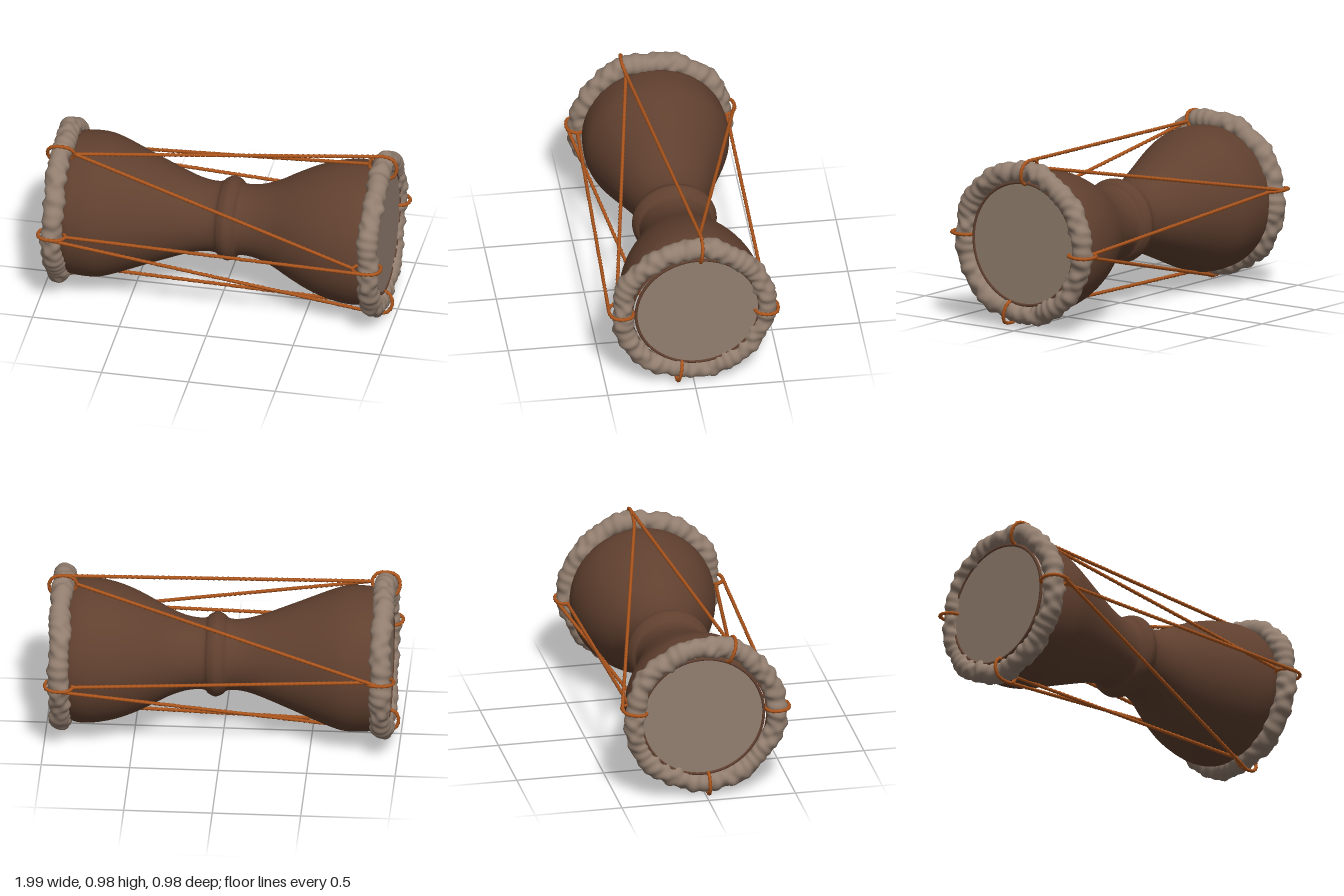
import * as THREE from 'three';
import { mergeVertices } from 'three/addons/utils/BufferGeometryUtils.js';

const CY = 0.49; // height of the drum axis

const wood = new THREE.MeshStandardMaterial({ color: 0x60402f });
wood.name = 'brown wood';
const hide = new THREE.MeshStandardMaterial({ color: 0x927e6f });
hide.name = 'pale hide';
const cord = new THREE.MeshStandardMaterial({ color: 0xaa541c });
cord.name = 'orange cord';

function add(group, name, geometry, material) {
  const mesh = new THREE.Mesh(geometry, material);
  mesh.name = name;
  group.add(mesh);
  return mesh;
}

// Weld the seams so recomputed normals stay smooth
function smooth(geometry) {
  geometry.deleteAttribute('uv');
  geometry.deleteAttribute('normal');
  const welded = mergeVertices(geometry, 1e-5);
  welded.computeVertexNormals();
  return welded;
}

// Hourglass shell turned around the x axis
function bodyGeometry() {
  const profile = [
    [-0.92, 0.355], [-0.86, 0.4], [-0.8, 0.412], [-0.7, 0.412], [-0.6, 0.385], [-0.4, 0.305],
    [-0.2, 0.228], [-0.1, 0.203], [-0.03, 0.203], [0, 0.225], [0.04, 0.241], [0.08, 0.225],
    [0.11, 0.203], [0.2, 0.21], [0.3, 0.245], [0.4, 0.298], [0.5, 0.347], [0.6, 0.384],
    [0.7, 0.406], [0.78, 0.412], [0.85, 0.4], [0.92, 0.355],
  ].map(([x, r]) => new THREE.Vector2(r, x));
  const points = new THREE.SplineCurve(profile).getPoints(110);
  return new THREE.LatheGeometry(points, 72).rotateZ(-Math.PI / 2);
}

// Rolled hide collar with irregular folds
function collarGeometry(seed) {
  const R = 0.41, r = 0.058;
  const g = new THREE.TorusGeometry(R, r, 24, 220);
  const p = g.attributes.position;
  for (let i = 0; i < p.count; i++) {
    const x = p.getX(i), y = p.getY(i), z = p.getZ(i);
    const u = Math.atan2(y, x);
    const d = Math.hypot(x, y) - R;
    const v = Math.atan2(z, d);
    const warp = 1.3 * Math.sin(3 * u + seed) + 0.9 * Math.sin(7 * u + 2 * seed + v);
    const fold = 0.085 * Math.sin(23 * u + 2 * warp + v + seed)
      + 0.06 * Math.sin(37 * u - 2 * warp - 2 * v)
      + 0.05 * Math.sin(11 * u + warp + 2 * v + 3 * seed);
    const k = 1 + fold;
    const drift = 0.005 * Math.sin(5 * u + seed) + 0.004 * Math.sin(9 * u + 2 * seed);
    const radius = R + drift + d * k;
    p.setXYZ(i, radius * Math.cos(u), radius * Math.sin(u),
      z * k + 0.004 * Math.sin(6 * u + seed));
  }
  return smooth(g).rotateY(Math.PI / 2);
}

// Round cord with a three-strand twist
function cordGeometry(curve, closed = false) {
  const length = curve.getLength();
  const steps = Math.round(length / 0.007), sides = 9, radius = 0.0095;
  const turns = Math.max(1, Math.round(length / 0.09));
  const g = new THREE.TubeGeometry(curve, steps, radius, sides, closed);
  const p = g.attributes.position, n = g.attributes.normal;
  for (let i = 0; i <= steps; i++) {
    for (let j = 0; j <= sides; j++) {
      const k = i * (sides + 1) + j;
      const bump = 0.0022 * Math.cos(3 * (j / sides - turns * i / steps) * 2 * Math.PI);
      p.setXYZ(k, p.getX(k) + n.getX(k) * bump, p.getY(k) + n.getY(k) * bump,
        p.getZ(k) + n.getZ(k) * bump);
    }
  }
  return smooth(g);
}

// Point at x, at a radius from the axis, in the direction (y, z)
function around(x, radius, [y, z]) {
  const l = Math.hypot(y, z);
  return new THREE.Vector3(x, CY + radius * y / l, radius * z / l);
}

export function createModel() {
  const drum = new THREE.Group();
  drum.name = 'hourglassDrum';

  add(drum, 'body', bodyGeometry(), wood).position.set(0, 0.478, -0.008);

  // Skin, wooden rim and collar at each end
  for (const side of [-1, 1]) {
    const label = side > 0 ? 'left' : 'right';
    const skin = add(drum, label + 'Skin',
      new THREE.CylinderGeometry(0.35, 0.35, 0.03, 72).rotateZ(Math.PI / 2), hide);
    skin.position.set(side * 0.921, CY, -0.02);
    const rim = add(drum, label + 'Rim',
      new THREE.TorusGeometry(0.351, 0.009, 8, 72).rotateY(Math.PI / 2), wood);
    rim.position.set(side * 0.934, CY, -0.02);
    const collar = add(drum, label + 'Collar', collarGeometry(side > 0 ? 1.1 : 4.3), hide);
    collar.position.set(side * 0.908, CY, 0);
  }

  // Loop directions (y, z): top, front, bottom, back
  const loopsA = [[0.45, 0.17], [0.017, 0.49], [-0.48, 0.015], [0.07, -0.49]];
  const loopsB = [[0.47, -0.045], [0.017, 0.49], [-0.46, 0.095], [-0.033, -0.49]];
  const loopSection = [[0.985, 0.42], [0.963, 0.465], [0.91, 0.481], [0.855, 0.471],
    [0.828, 0.427], [0.86, 0.37], [0.91, 0.345], [0.968, 0.362]];
  for (const [side, dirs] of [[-1, loopsA], [1, loopsB]]) {
    for (const dir of dirs) {
      const pts = loopSection.map(([x, r]) => around(side * x, r, dir));
      add(drum, 'cordLoop', cordGeometry(new THREE.CatmullRomCurve3(pts, true), true), cord);
    }
  }

  // Zigzag lacing: each loop to its opposite and to the next one round
  const inner = [0.828, 0.427], outer = [0.9, 0.481];
  const strands = [
    [0, 0, inner, outer], [0, 1, inner, inner],
    [1, 1, inner, outer], [1, 2, outer, outer],
    [2, 2, inner, inner], [2, 3, outer, outer],
    [3, 3, inner, inner], [3, 0, outer, inner],
  ];
  for (const [a, b, from, to] of strands) {
    const line = new THREE.LineCurve3(
      around(-from[0], from[1], loopsA[a]), around(to[0], to[1], loopsB[b]));
    add(drum, 'lacing', cordGeometry(line), cord);
  }
  return drum;
}
